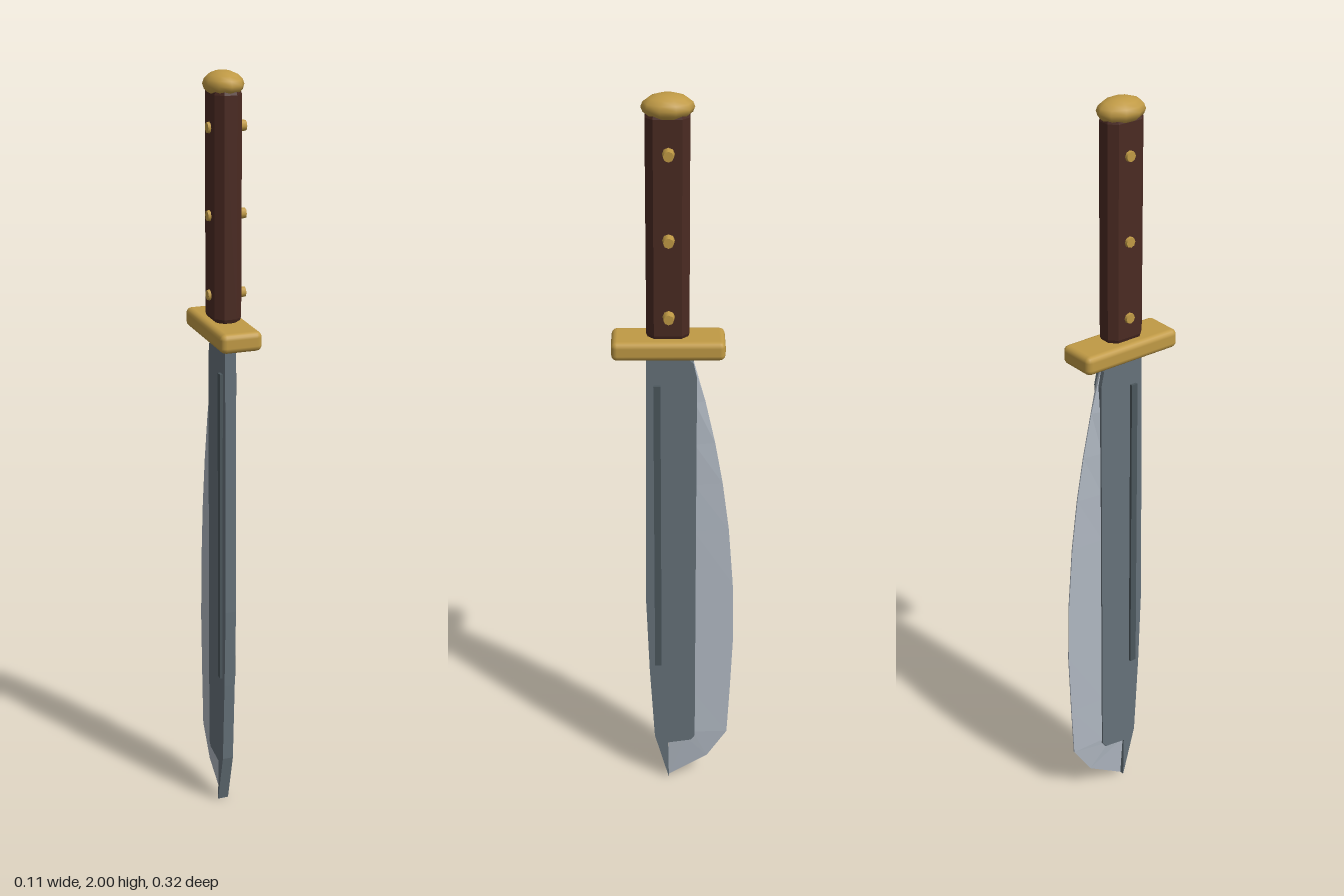
import * as THREE from 'three';
import { RoundedBoxGeometry } from 'three/addons/geometries/RoundedBoxGeometry.js';

const CX = -0.003; // mid-plane of the blade and handle
const CZ = 0.017; // centre line of the hilt

const mat = (name, color, opts = {}) => {
  const m = new THREE.MeshStandardMaterial({ color, ...opts });
  m.name = name;
  return m;
};

// Extrude an outline of [z, y] points sideways, centred on the mid-plane
function sidePlate(points, thickness) {
  const shape = new THREE.Shape(points.map(([z, y]) => new THREE.Vector2(-z, y)));
  const g = new THREE.ExtrudeGeometry(shape, { depth: thickness, bevelEnabled: false });
  return g.rotateY(Math.PI / 2).translate(CX - thickness / 2, 0, 0);
}

// Wedge lofted through rows of [innerZ, innerY, edgeZ, edgeY]
function wedge(rows, halfInner, halfEdge) {
  const pos = [], idx = [];
  rows.forEach(([iz, iy, ez, ey], r) => {
    pos.push(CX + halfInner, iy, iz, CX + halfEdge, ey, ez);
    pos.push(CX - halfEdge, ey, ez, CX - halfInner, iy, iz);
    if (r === 0) return;
    for (let k = 0; k < 3; k++) {
      const a = (r - 1) * 4 + k, b = r * 4 + k;
      idx.push(a, b, b + 1, a, b + 1, a + 1);
    }
  });
  const g = new THREE.BufferGeometry();
  g.setAttribute('position', new THREE.Float32BufferAttribute(pos, 3));
  g.setIndex(idx);
  const flat = g.toNonIndexed();
  flat.computeVertexNormals();
  return flat;
}

export function createModel() {
  const group = new THREE.Group();
  const steel = mat('darkSteel', 0x66727a);
  const edgeSteel = mat('edgeSteel', 0xb0b8c2, { side: THREE.DoubleSide });
  const grooveSteel = mat('grooveSteel', 0x4b565c);
  const brass = mat('brass', 0xc09a45);
  const wood = mat('darkWood', 0x4a2a22);

  const add = (name, geometry, material, x = 0, y = 0, z = 0) => {
    const m = new THREE.Mesh(geometry, material);
    m.name = name;
    m.position.set(x, y, z);
    group.add(m);
    return m;
  };

  // Thick blade body along the spine
  add('bladeBody', sidePlate([
    [0.072, 1.345], [0.076, 0.95], [0.078, 0.6], [0.07, 0.38], [0.057, 0.15], [0.018, 0.003],
    [0.02, 0.125], [-0.045, 0.135], [-0.055, 0.15], [-0.055, 1.27], [-0.046, 1.312], [-0.01, 1.345],
  ], 0.029), steel);

  // Ground cutting edge, thinning outwards and wrapping round the tip
  add('cuttingEdge', wedge([
    [-0.044, 1.312, -0.047, 1.312],
    [-0.05, 1.2, -0.077, 1.2],
    [-0.05, 1.08, -0.103, 1.08],
    [-0.05, 0.96, -0.124, 0.96],
    [-0.05, 0.82, -0.142, 0.82],
    [-0.05, 0.65, -0.155, 0.65],
    [-0.05, 0.48, -0.159, 0.48],
    [-0.05, 0.3, -0.152, 0.3],
    [-0.05, 0.16, -0.145, 0.155],
    [-0.03, 0.14, -0.09, 0.07],
    [0.019, 0.13, 0.018, 0.002],
  ], 0.0105, 0.0015), edgeSteel);

  // Long narrow strip on both faces of the blade
  for (const s of [-1, 1]) {
    add('bladeGroove', new THREE.BoxGeometry(0.009, 0.855, 0.018), grooveSteel, CX + s * 0.0172, 0.824, 0.046);
  }

  // Crossguard
  add('guard', new RoundedBoxGeometry(0.108, 0.05, 0.284, 2, 0.015), brass, CX, 1.36, CZ);

  // Eight-sided grip with bevelled ends
  const w = 0.025, d = 0.0435, c = 0.013;
  const grip = new THREE.Shape([
    [w, -d + c], [w, d - c], [w - c, d], [c - w, d], [-w, d - c], [-w, c - d], [c - w, -d], [w - c, -d],
  ].map(([x, y]) => new THREE.Vector2(x, y)));
  const gripGeo = new THREE.ExtrudeGeometry(grip, {
    depth: 0.55, bevelEnabled: true, bevelSize: 0.01, bevelThickness: 0.012, bevelSegments: 2,
  }).rotateX(-Math.PI / 2);
  add('grip', gripGeo, wood, CX, 1.397, CZ + 0.001);

  // Rivets through the grip
  for (const y of [1.45, 1.65, 1.865]) {
    for (const [side, x, len] of [[1, 0.0425, 0.024], [-1, -0.0375, 0.015]]) {
      const rivet = add('rivet', new THREE.CylinderGeometry(0.013, 0.0155, len, 8), brass, x, y, CZ - 0.001);
      rivet.rotation.z = -side * Math.PI / 2;
    }
  }

  // Flattened round pommel
  const pommel = new THREE.SphereGeometry(1, 10, 8).rotateY(Math.PI / 2).scale(0.049, 0.032, 0.064);
  add('pommel', pommel, brass, CX, 1.968, CZ);

  return group;
}
